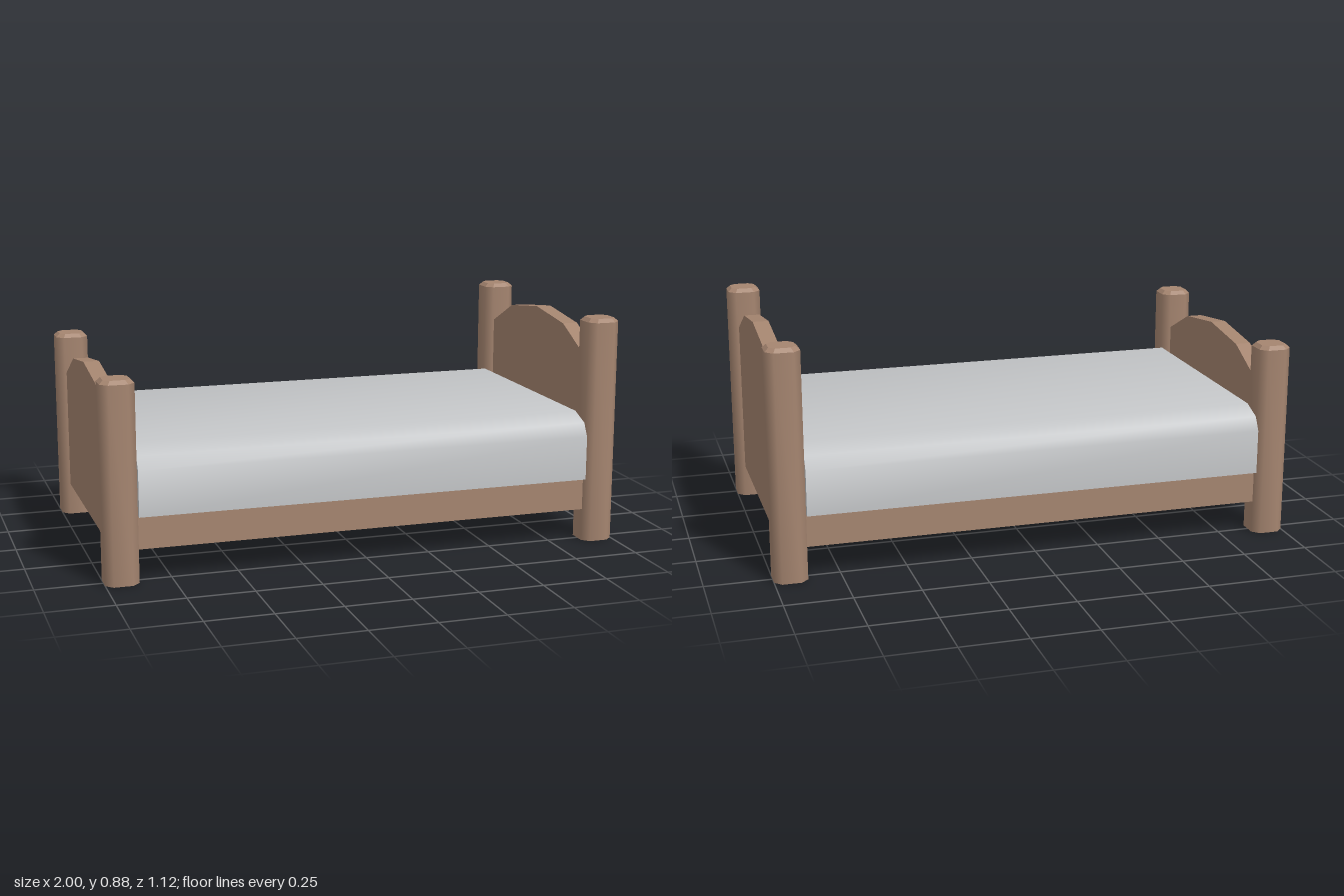
import * as THREE from 'three';
import { toCreasedNormals, mergeGeometries } from 'three/addons/utils/BufferGeometryUtils.js';

const wood = new THREE.MeshStandardMaterial({ color: 0xa58570 });
wood.name = 'wood';
const cloth = new THREE.MeshStandardMaterial({ color: 0xc3c5c7 });
cloth.name = 'cloth';

const shapeFrom = (points) => new THREE.Shape(points.map(([x, y]) => new THREE.Vector2(x, y)));
const extrude = (points, depth) =>
  new THREE.ExtrudeGeometry(shapeFrom(points), { depth, bevelEnabled: false });

function addMesh(parent, name, geometry, material, x = 0, y = 0, z = 0) {
  const mesh = new THREE.Mesh(geometry, material);
  mesh.name = name;
  mesh.position.set(x, y, z);
  parent.add(mesh);
  return mesh;
}

// Square post with softened corners and a small chamfer round its top
function postGeometry(height) {
  const h = 0.0625, c = 0.036, bevel = 0.014;
  const outline = [[h, -c], [h, c], [c, h], [-c, h], [-h, c], [-h, -c], [-c, -h], [c, -h]];
  const shaft = toCreasedNormals(extrude(outline, height - bevel), 0.9);
  const cap = extrude(outline, bevel);
  const p = cap.attributes.position;
  for (let i = 0; i < p.count; i++) {
    if (p.getZ(i) > bevel / 2) p.setXY(i, p.getX(i) * 0.77, p.getY(i) * 0.77);
  }
  cap.computeVertexNormals();
  cap.translate(0, 0, height - bevel);
  return mergeGeometries([shaft, cap]).rotateX(-Math.PI / 2);
}

// Upright end panel with an arched, faceted top
function boardGeometry(postHeight) {
  const side = 0.45, low = 0.126;
  const outline = [
    [-side, low], [side, low], [side, postHeight - 0.162], [0.25, postHeight - 0.064],
    [0, postHeight - 0.032], [-0.25, postHeight - 0.064], [-side, postHeight - 0.162],
  ];
  return extrude(outline, 0.06).translate(0, 0, -0.03).rotateY(Math.PI / 2);
}

export function createModel() {
  const bed = new THREE.Group();
  bed.name = 'bed';

  // Head end (+x) is taller than the foot end (-x)
  for (const [label, dir, height] of [['head', 1, 0.875], ['foot', -1, 0.75]]) {
    const end = new THREE.Group();
    end.name = label + 'End';
    bed.add(end);
    for (const z of [0.5, -0.5]) {
      addMesh(end, label + 'Post', postGeometry(height), wood, dir * 0.9375, 0, z);
    }
    addMesh(end, label + 'Board', boardGeometry(height), wood, dir * 0.9375);
    // Frame tongue reaching between the posts
    addMesh(end, label + 'Rail', new THREE.BoxGeometry(0.05, 0.125, 0.87), wood, dir * 0.88, 0.1875, 0);
  }

  // Base frame
  addMesh(bed, 'frame', new THREE.BoxGeometry(1.75, 0.125, 1.07), wood, 0, 0.1875, 0);

  // Blanketed mattress with rounded long edges
  const half = [[0.558, 0.25], [0.558, 0.42], [0.53, 0.47], [0.45, 0.5]];
  const outline = [...half, ...half.map(([z, y]) => [-z, y]).reverse()];
  const blanket = extrude(outline, 1.75).translate(0, 0, -0.875).rotateY(Math.PI / 2);
  addMesh(bed, 'blanket', toCreasedNormals(blanket, 0.9), cloth);

  return bed;
}
